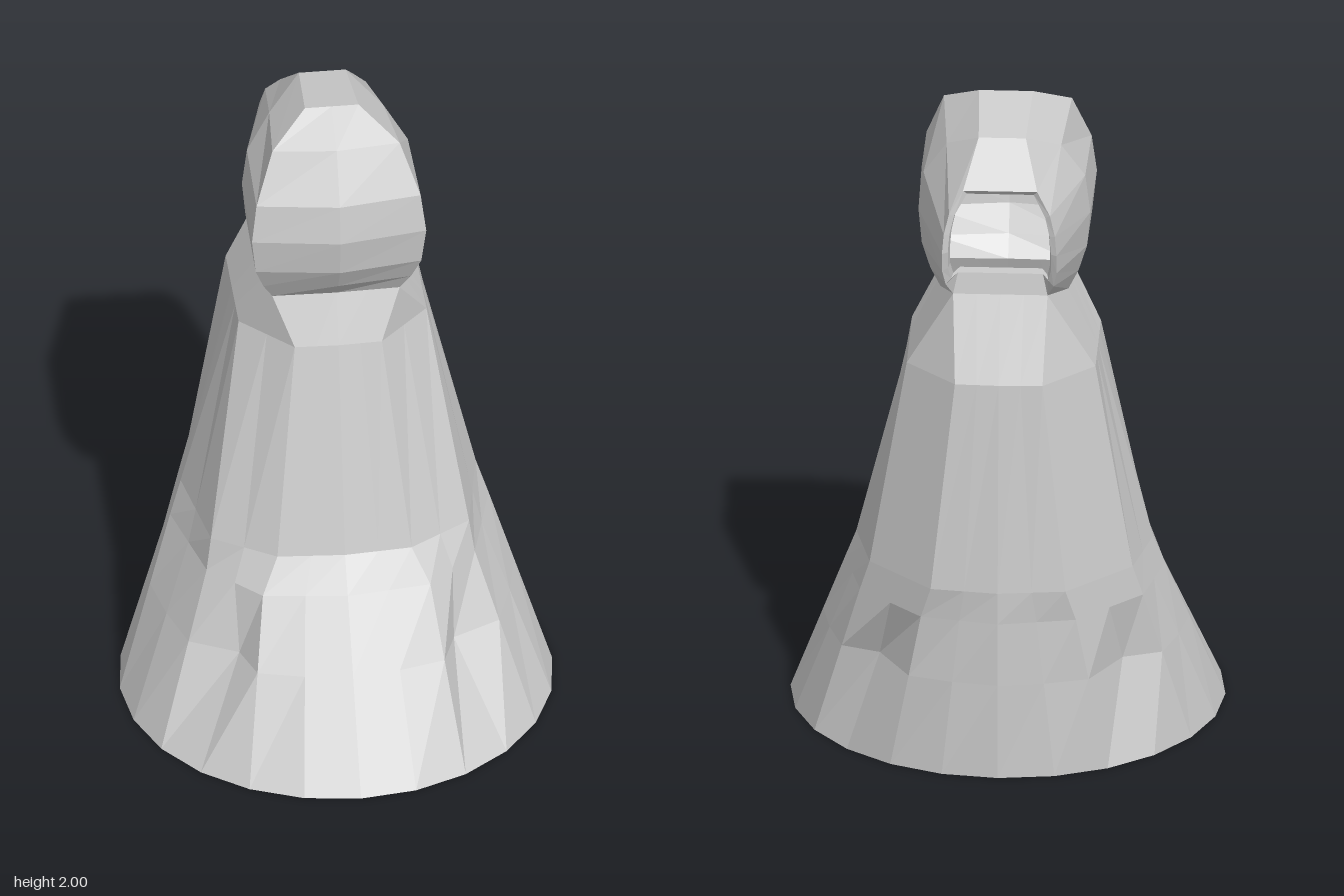
import * as THREE from 'three';

const material = new THREE.MeshStandardMaterial({ color: 0xcccccc, flatShading: true, side: THREE.DoubleSide });

// Skin a list of rows, each row an equal-length list of [x, y, z]
function loft(name, rows, closed) {
  const n = rows[0].length, index = [];
  for (let i = 0; i < rows.length - 1; i++) {
    for (let j = 0; j < (closed ? n : n - 1); j++) {
      const k = (j + 1) % n;
      const a = i * n + j, b = i * n + k, c = b + n, d = a + n;
      index.push(a, b, c, a, c, d);
    }
  }
  const geometry = new THREE.BufferGeometry();
  geometry.setAttribute('position', new THREE.Float32BufferAttribute(rows.flat(2), 3));
  geometry.setIndex(index);
  const flat = geometry.toNonIndexed();
  flat.computeVertexNormals();
  const mesh = new THREE.Mesh(flat, material);
  mesh.name = name;
  return mesh;
}

const flip = ([x, y, z]) => [-x, y, z];
const mix = (a, b, t) => a.map((v, i) => v + (b[i] - v) * t);

// Seven corners from front centre to back centre become a 24-point ring
function ring(corners) {
  const half = [];
  corners.forEach((p, i) => {
    half.push(p);
    if (i < corners.length - 1) half.push(mix(p, corners[i + 1], 0.5));
  });
  return half;
}
const mirrorRing = (half) => [...half, ...half.slice(1, -1).reverse().map(flip)];
const level = (y, points) => ring(points.map(([x, z]) => [x, y, z]));

function robe() {
  // Round hem
  const hem = [];
  for (let i = 0; i <= 12; i++) {
    const a = (i * Math.PI) / 12;
    hem.push([0.645 * Math.sin(a), 0, 0.635 * Math.cos(a)]);
  }
  const knee = level(0.5, [[0, 0.3], [0.25, 0.27], [0.4, 0.12], [0.475, -0.17], [0.42, -0.4], [0.23, -0.59], [0, -0.635]]);
  const waist = level(0.6, [[0, 0.23], [0.2, 0.215], [0.385, 0.1], [0.44, -0.2], [0.39, -0.42], [0.2, -0.61], [0, -0.635]]);
  const shoulder = level(1.25, [[0, 0.065], [0.13, 0.06], [0.28, -0.09], [0.28, -0.26], [0.28, -0.42], [0.13, -0.57], [0, -0.575]]);
  const front = [0.19, 1.4, 0], back = [0.14, 1.5, -0.47];
  const neck = ring([[0, 1.4, 0.005], front, front, [0.19, 1.41, -0.22], back, back, [0, 1.5, -0.47]]);
  // Folds pressed in above the hem
  const fold = hem.map((p, i) => mix(p, knee[i], 0.6));
  fold[3] = [0.32, 0.3, 0.27];
  fold[9] = [0.36, 0.3, -0.41];
  return loft('robe', [hem, fold, knee, waist, shoulder, neck].map(mirrorRing), true);
}

function hood() {
  const group = new THREE.Group();
  group.name = 'hood';
  // Half arches from the lower edge to the crown
  const frontArch = [
    [0.19, 1.4, 0], [0.22, 1.46, 0.03], [0.247, 1.54, 0.065], [0.26, 1.66, 0.08],
    [0.245, 1.78, 0.065], [0.19, 1.93, 0], [0.08, 2, -0.11]];
  const middleArch = [
    [0.19, 1.41, -0.22], [0.22, 1.47, -0.22], [0.245, 1.55, -0.22], [0.255, 1.66, -0.22],
    [0.24, 1.78, -0.22], [0.17, 1.89, -0.25], [0.07, 1.955, -0.35]];
  const backArch = [
    [0.14, 1.5, -0.47], [0.16, 1.55, -0.515], [0.17, 1.6, -0.53], [0.17, 1.66, -0.54],
    [0.165, 1.72, -0.535], [0.15, 1.78, -0.52], [0.11, 1.84, -0.48]];
  const arch = (half) => [...half, ...[...half].reverse().map(flip)];
  group.add(loft('hoodShell', [backArch, middleArch, frontArch].map(arch), false));

  // Broad panel between the front arches, bowed along its centre
  const bow = [0.005, 0.025, 0.035, 0.04, 0.035, 0.02, 0];
  group.add(loft('hoodPanel', frontArch.map((p, i) => [flip(p), [0, p[1], p[2] + bow[i]], p]), false));

  // Lip turned into the opening, deeper along the bottom
  const lip = backArch.map(([x, y, z]) => [x * 0.9, Math.max(1.565, 1.67 + (y - 1.67) * 0.92), z + 0.01]);
  const inner = lip.map(([x, y, z]) => [x * 0.97, y, z + 0.04]);
  group.add(loft('openingRim', [inner, lip, backArch].map(arch), true));
  return group;
}

export function createModel() {
  const model = new THREE.Group();
  model.name = 'hoodedRobe';
  model.add(robe(), hood());
  return model;
}
